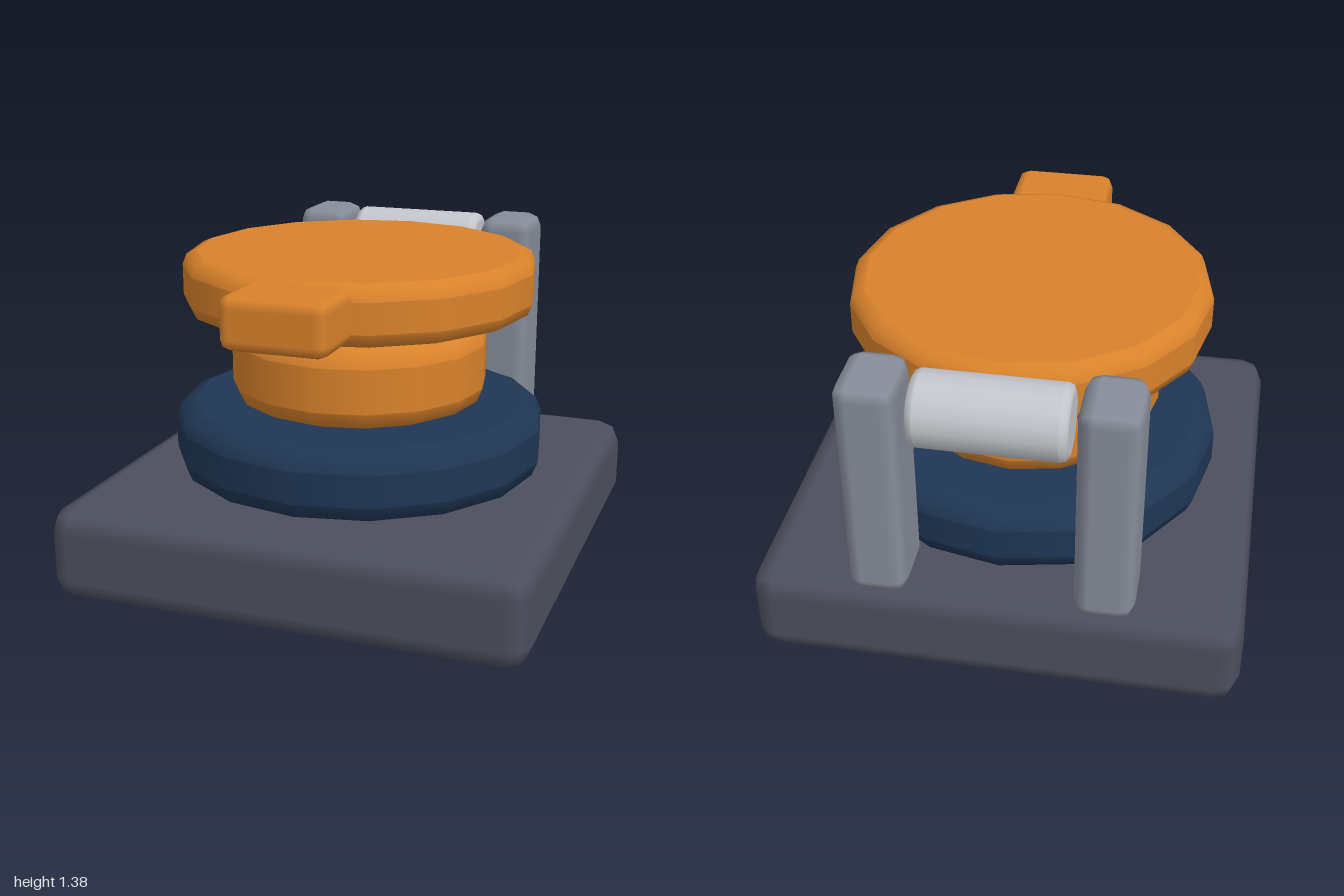
import * as THREE from 'three';
import { RoundedBoxGeometry } from 'three/addons/geometries/RoundedBoxGeometry.js';

function material(name, color) {
  const m = new THREE.MeshStandardMaterial({ color });
  m.name = name;
  return m;
}

// Disc centred on the origin, axis y, with a two-step bevel on both rims
function bevelledDisc(radius, height, bevel, sides) {
  const h = height / 2, k = bevel * (1 - Math.SQRT1_2), e = 0.004;
  const rim = [
    [radius - bevel - e, h], [radius - bevel, h], [radius - k, h - k],
    [radius, h - bevel], [radius, h - bevel - e],
  ];
  const points = [[0, -h]]
    .concat(rim.map(([r, y]) => [r, -y]), rim.slice().reverse(), [[0, h]])
    .map(([r, y]) => new THREE.Vector2(r, y));
  return new THREE.LatheGeometry(points, sides);
}

export function createModel() {
  const slate = material('slate', 0x4c4f5e);
  const navy = material('navy', 0x1f3654);
  const orange = material('orange', 0xd9822b);
  const steel = material('steel', 0x868c99);
  const silver = material('silver', 0xc4c6cc);

  const model = new THREE.Group();
  model.name = 'hingedLidPress';

  const add = (name, geometry, mat, x, y, z) => {
    const mesh = new THREE.Mesh(geometry, mat);
    mesh.name = name;
    mesh.position.set(x, y, z);
    model.add(mesh);
    return mesh;
  };
  const box = (w, h, d, r) => new RoundedBoxGeometry(w, h, d, 1, r);

  // Base and the stacked discs
  add('base', box(2, 0.4, 2, 0.1), slate, 0, 0.2, 0);
  add('lowerPlate', bevelledDisc(0.8, 0.3, 0.08, 16), navy, 0, 0.55, 0);
  add('middleDisc', bevelledDisc(0.55, 0.35, 0.08, 16), orange, 0, 0.875, 0);
  add('lid', bevelledDisc(0.75, 0.25, 0.06, 16), orange, 0, 1.225, 0);
  add('handle', box(0.44, 0.22, 0.32, 0.05), orange, 0, 1.23, 0.81);

  // Hinge posts and the pin between them
  for (const [side, name] of [[1, 'leftPost'], [-1, 'rightPost']]) {
    add(name, box(0.24, 0.98, 0.3, 0.06), steel, side * 0.45, 0.89, -0.85);
  }
  const pin = add('hingePin', bevelledDisc(0.15, 0.6, 0.03, 16), silver, 0, 1.23, -0.85);
  pin.rotation.z = Math.PI / 2;

  return model;
}
